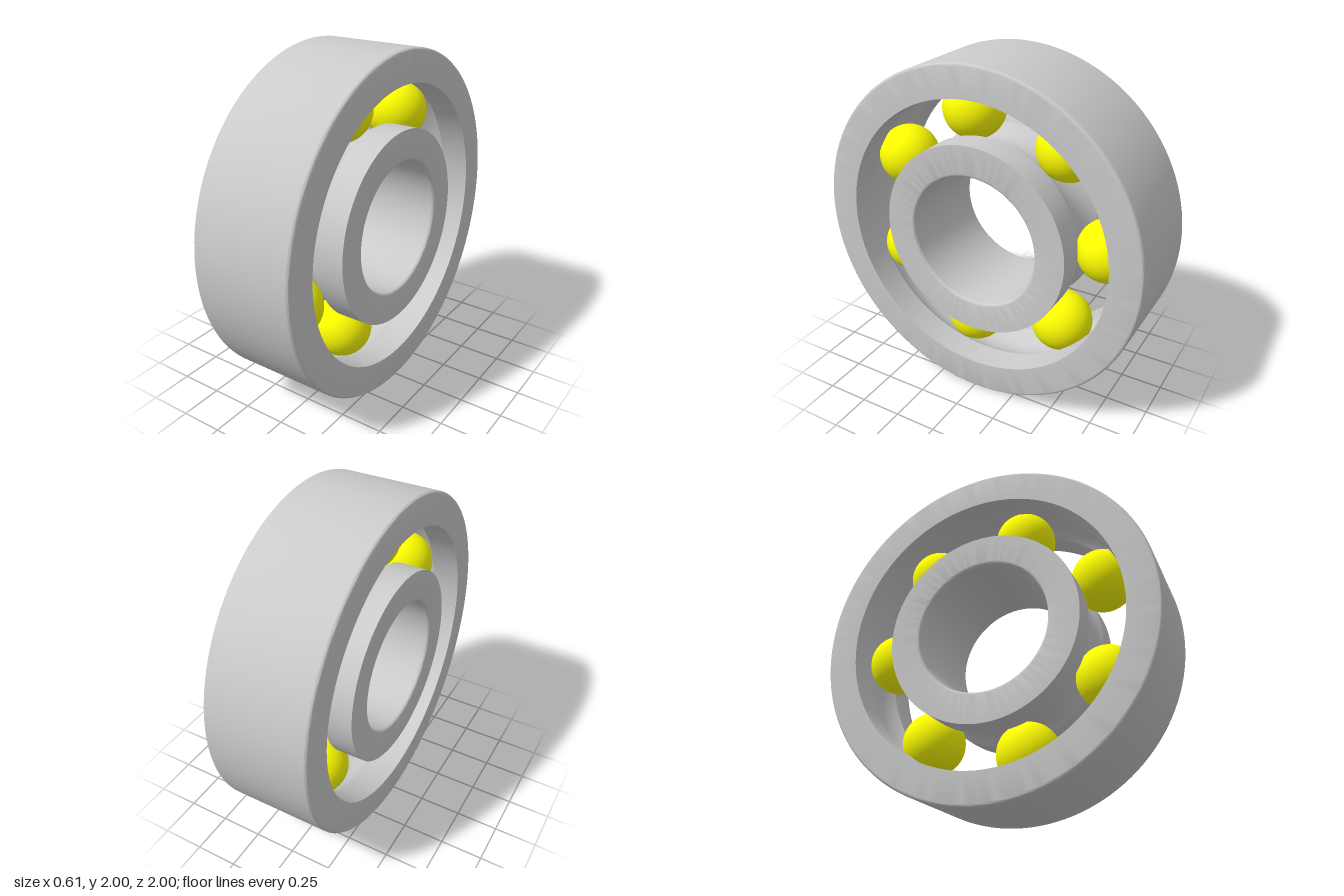
import * as THREE from 'three';
import { toCreasedNormals } from 'three/addons/utils/BufferGeometryUtils.js';

const HALF = 0.305;       // half width of both rings
const FILLET = 0.018;     // rounded edges
const PITCH = 0.692;      // radius of the circle of ball centres
const BALL = 0.181;
const GROOVE = 0.185;     // raceway radius
const BALLS = 7;

// Points on an arc in the (radius, axis) plane
function arc(cx, cy, r, from, to, steps) {
  const pts = [];
  for (let i = 0; i <= steps; i++) {
    const a = from + (to - from) * i / steps;
    pts.push(new THREE.Vector2(cx + r * Math.cos(a), cy + r * Math.sin(a)));
  }
  return pts;
}

// Turn a closed counter-clockwise section into a ring lying around the x axis
function ring(name, section, material) {
  const lathe = new THREE.LatheGeometry([...section, section[0].clone()], 128);
  const geometry = toCreasedNormals(lathe, 0.6);
  geometry.rotateZ(Math.PI / 2);
  const mesh = new THREE.Mesh(geometry, material);
  mesh.name = name;
  return mesh;
}

export function createModel() {
  const model = new THREE.Group();
  model.name = 'ballBearing';
  const grey = new THREE.MeshStandardMaterial({ color: 0xcccccc });
  const yellow = new THREE.MeshStandardMaterial({ color: 0xffff00 });
  const P = Math.PI, f = FILLET, e = HALF - FILLET;
  const v = (r, y) => new THREE.Vector2(r, y);

  // Outer ring: rounded outside edges, raceway cut into the inside
  const outer = 1, outerLand = 0.815;
  const a = Math.acos((outerLand - PITCH) / GROOVE);
  model.add(ring('outerRing', [
    ...arc(outer - f, -e, f, -P / 2, 0, 6),
    ...arc(outer - f, e, f, 0, P / 2, 6),
    v(outerLand, HALF),
    ...arc(PITCH, 0, GROOVE, a, -a, 16),
    v(outerLand, -HALF),
  ], grey));

  // Inner ring: rounded bore edges, raceway cut into the outside
  const bore = 0.388, innerLand = 0.568;
  const b = Math.acos((PITCH - innerLand) / GROOVE);
  model.add(ring('innerRing', [
    v(innerLand, -HALF),
    ...arc(PITCH, 0, GROOVE, P + b, P - b, 16),
    v(innerLand, HALF),
    ...arc(bore + f, e, f, P / 2, P, 6),
    ...arc(bore + f, -e, f, P, P * 1.5, 6),
  ], grey));

  // Balls, evenly spaced, the first one at the back
  const balls = new THREE.Group();
  balls.name = 'balls';
  const ballGeometry = new THREE.SphereGeometry(BALL, 48, 32);
  for (let i = 0; i < BALLS; i++) {
    const t = i / BALLS * P * 2;
    const ball = new THREE.Mesh(ballGeometry, yellow);
    ball.name = 'ball' + (i + 1);
    ball.position.set(0, PITCH * Math.sin(t), -PITCH * Math.cos(t));
    balls.add(ball);
  }
  model.add(balls);

  // Stand the bearing on the ground
  model.children.forEach((part) => { part.position.y = 1; });
  return model;
}
